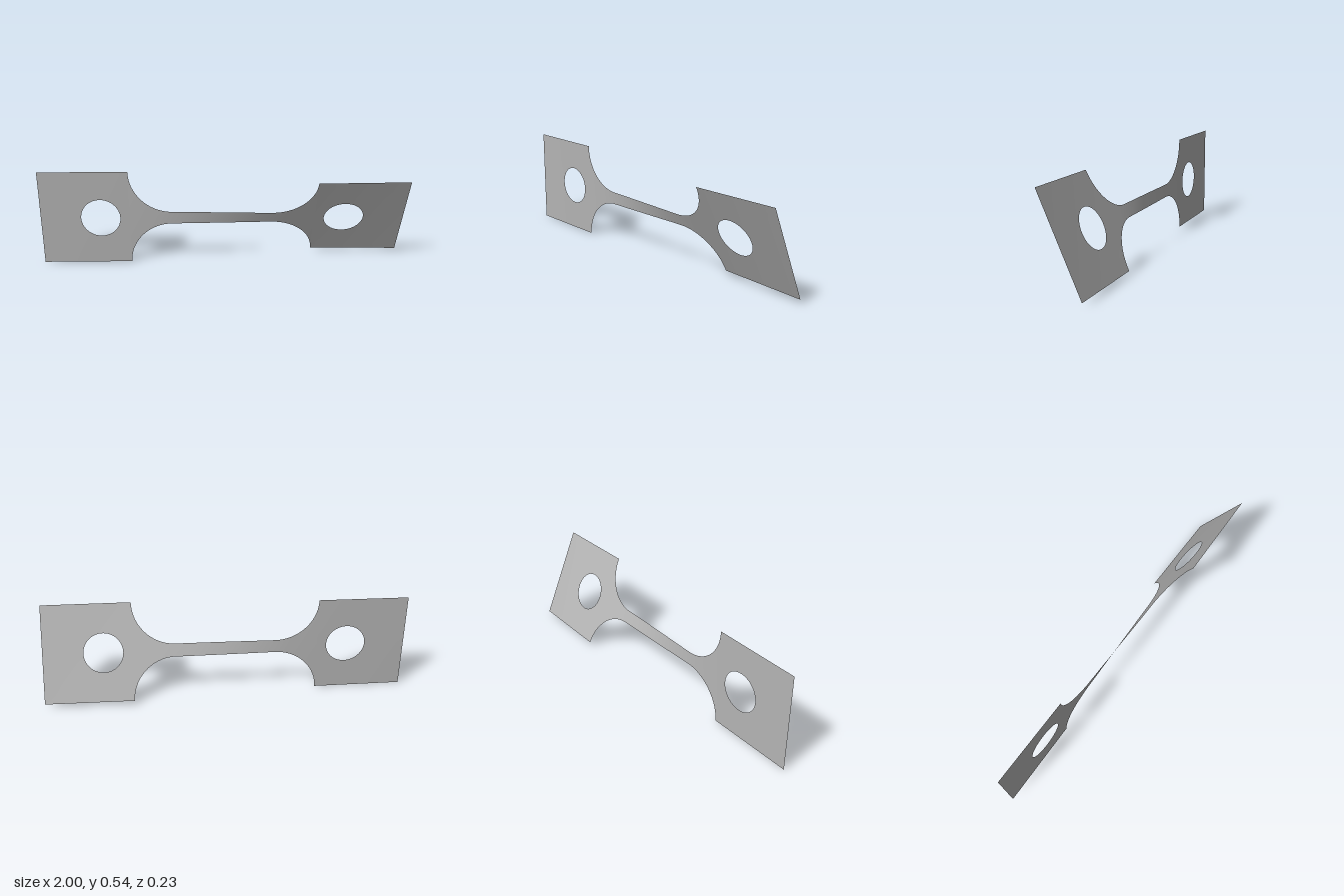
import * as THREE from 'three';

const H = 0.271;          // half height of the end tabs
const TAB = 0.51;         // |x| where a tab begins
const R = 0.235;          // fillet radius
const HOLE = { x: 0.67, r: 0.108 };
const ROWS = 16;

// Twist angle (degrees) along the length
const TWIST = [[-1, 0], [-0.51, 0.8], [-0.35, 2.2], [-0.2, 6.5], [0, 14.5], [0.2, 22],
  [0.35, 25], [0.51, 25.2], [1, 23.8]];
function twistAt(x) {
  let i = 0;
  while (i < TWIST.length - 2 && x > TWIST[i + 1][0]) i++;
  const [x0, a0] = TWIST[i], [x1, a1] = TWIST[i + 1];
  return THREE.MathUtils.degToRad(a0 + (a1 - a0) * (x - x0) / (x1 - x0));
}

// Joins rows of flat [x, y] points into a sheet and twists it about the x axis
function twistedSheet(rows) {
  const pos = [], index = [], n = rows[0].length;
  for (const row of rows) {
    for (const [x, y] of row) {
      const a = twistAt(x);
      pos.push(x, H + y * Math.cos(a), y * Math.sin(a));
    }
  }
  for (let i = 0; i < rows.length - 1; i++) {
    for (let j = 0; j < n - 1; j++) {
      const a = i * n + j, b = a + n;
      index.push(a, b, b + 1, a, b + 1, a + 1);
    }
  }
  const g = new THREE.BufferGeometry();
  g.setAttribute('position', new THREE.Float32BufferAttribute(pos, 3));
  g.setIndex(index);
  g.computeVertexNormals();
  return g;
}

// Slender neck with a quarter-round fillet flaring into each tab
function neckRows() {
  const stations = [], x0 = TAB - R;
  for (let i = 24; i > 0; i--) {
    const t = i / 24 * Math.PI / 2;
    stations.push([-x0 - R * Math.sin(t), H - R * Math.cos(t)]);
  }
  for (let i = 0; i <= 24; i++) stations.push([-x0 + 2 * x0 * i / 24, H - R]);
  for (let i = 1; i <= 24; i++) {
    const t = i / 24 * Math.PI / 2;
    stations.push([x0 + R * Math.sin(t), H - R * Math.cos(t)]);
  }
  return stations.map(([x, h]) =>
    Array.from({ length: ROWS + 1 }, (_, j) => [x, h * (2 * j / ROWS - 1)]));
}

// Rectangular tab, ringed outward from its round hole
function tabRows(side) {
  const cx = side * HOLE.x;
  const xa = Math.min(side * TAB, side), xb = Math.max(side * TAB, side);
  const corners = [[xa, -H], [xb, -H], [xb, H], [xa, H], [xa, -H]];
  const rim = [];
  for (let k = 0; k < 4; k++) {
    for (let i = 0; i < ROWS; i++) {
      const t = i / ROWS, [ax, ay] = corners[k], [bx, by] = corners[k + 1];
      rim.push([ax + (bx - ax) * t, ay + (by - ay) * t]);
    }
  }
  rim.push(corners[0]);
  const rings = 6, rows = [];
  for (let r = 0; r <= rings; r++) {
    rows.push(rim.map(([x, y]) => {
      const a = Math.atan2(y, x - cx), t = r / rings;
      const hx = cx + HOLE.r * Math.cos(a), hy = HOLE.r * Math.sin(a);
      return [hx + (x - hx) * t, hy + (y - hy) * t];
    }));
  }
  return rows;
}

export function createModel() {
  const group = new THREE.Group();
  group.name = 'twistedTestStrip';
  const metal = new THREE.MeshStandardMaterial({ color: 0xb4b4b4, side: THREE.DoubleSide });
  metal.name = 'plain grey';
  const add = (name, rows) => {
    const mesh = new THREE.Mesh(twistedSheet(rows), metal);
    mesh.name = name;
    group.add(mesh);
  };
  add('neck', neckRows());
  add('rightTab', tabRows(-1));
  add('leftTab', tabRows(1));
  return group;
}
